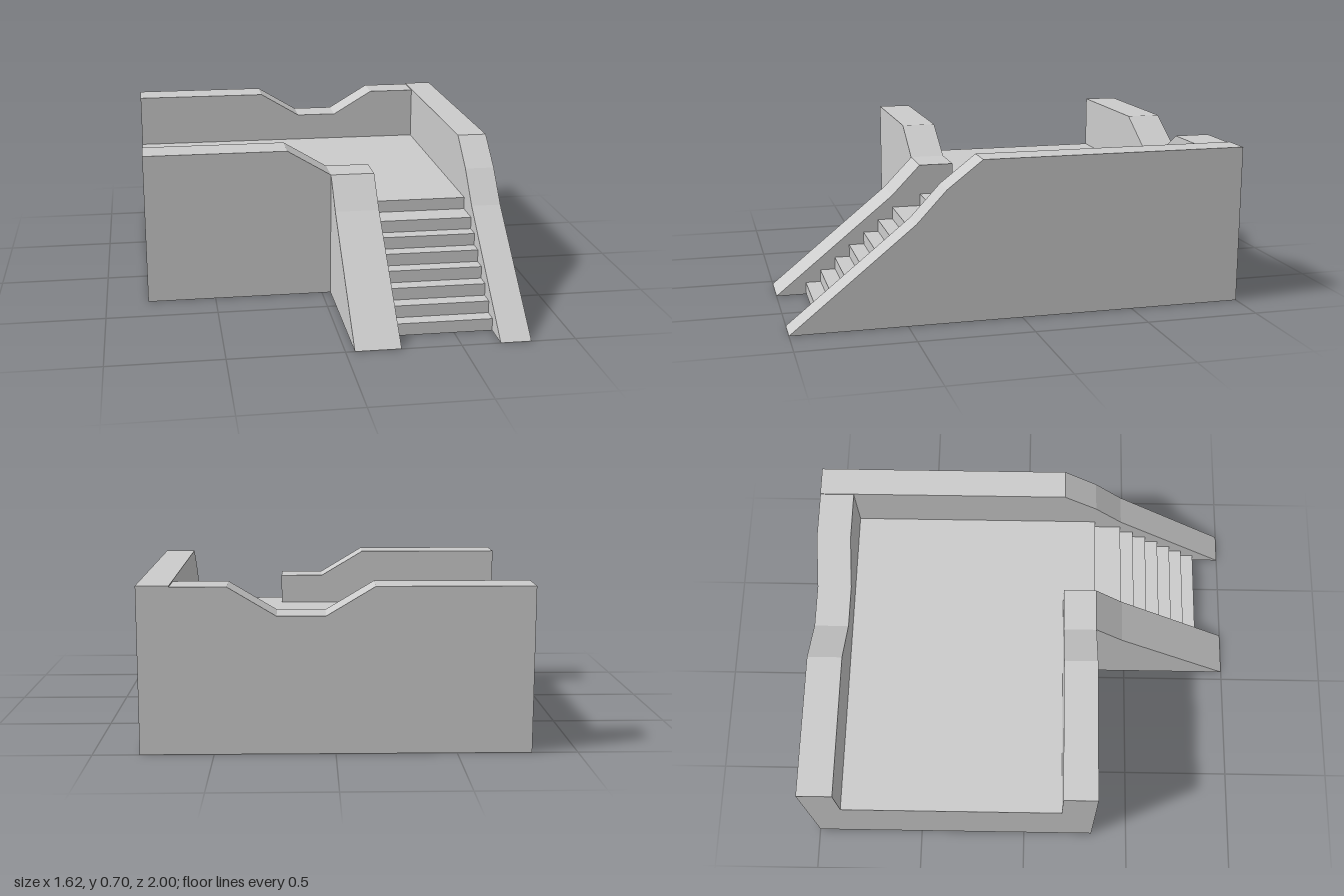
import * as THREE from 'three';

const material = new THREE.MeshStandardMaterial({ color: 0xcccccc, flatShading: true });

const LEFT = 0.805, RIGHT = -0.81, BACK = -1, FRONT = 0.33;
const FLOOR = 0.44, LOW = 0.575, HIGH = 0.695;
const STAIR_X0 = 0.24, STAIR_X1 = 0.67;

function extrude(points, depth) {
  const shape = new THREE.Shape(points.map(([a, b]) => new THREE.Vector2(a, b)));
  return new THREE.ExtrudeGeometry(shape, { depth, bevelEnabled: false });
}

// Profile in (x, y), filled from z0 to z1
function frontProfile(name, points, z0, z1) {
  const mesh = new THREE.Mesh(extrude(points, z1 - z0).translate(0, 0, z0), material);
  mesh.name = name;
  return mesh;
}

// Profile in (z, y), filled from x0 to x1
function sideProfile(name, points, x0, x1) {
  const geometry = extrude(points, x1 - x0).rotateY(-Math.PI / 2).translate(x1, 0, 0);
  const mesh = new THREE.Mesh(geometry, material);
  mesh.name = name;
  return mesh;
}

export function createModel() {
  const group = new THREE.Group();
  group.name = 'stairPlatform';

  // Platform floor, open at the right edge
  group.add(frontProfile('platform',
    [[RIGHT, 0], [STAIR_X1, 0], [STAIR_X1, FLOOR], [RIGHT, FLOOR]], -0.84, 0.175));

  // Back parapet with a dip in its top
  group.add(frontProfile('backWall', [
    [RIGHT, 0], [STAIR_X1, 0], [STAIR_X1, HIGH], [0.44, HIGH],
    [STAIR_X0, LOW], [0.04, LOW], [-0.16, HIGH], [RIGHT, HIGH],
  ], BACK, -0.84));

  // Front parapet stepping down towards the stairs
  group.add(frontProfile('frontWall', [
    [RIGHT, 0], [STAIR_X0, 0], [STAIR_X0, LOW],
    [0.04, LOW], [-0.16, HIGH], [RIGHT, HIGH],
  ], 0.175, FRONT));

  // Long side wall that slopes down into the outer stair rail
  group.add(sideProfile('leftWall', [
    [BACK, 0], [1, 0], [0.46, FLOOR], [FRONT, LOW + 0.005], [0.175, 0.7], [BACK, 0.7],
  ], STAIR_X1, LEFT));

  // Inner stair rail
  group.add(sideProfile('innerRail',
    [[FRONT, 0], [1, 0], [0.46, FLOOR], [FRONT, LOW]], 0.04, STAIR_X0));

  // Seven steps below the landing; the top one is deeper
  const steps = 7, rise = FLOOR / 8, run = 0.0675, start = 0.865;
  const stairs = [[0.175, 0]];
  for (let i = 0; i < steps; i++) {
    const z = start - i * run;
    stairs.push([z, i * rise], [z, (i + 1) * rise]);
  }
  stairs.push([FRONT, steps * rise], [FRONT, FLOOR], [0.175, FLOOR]);
  group.add(sideProfile('stairs', stairs, STAIR_X0, STAIR_X1));

  return group;
}
